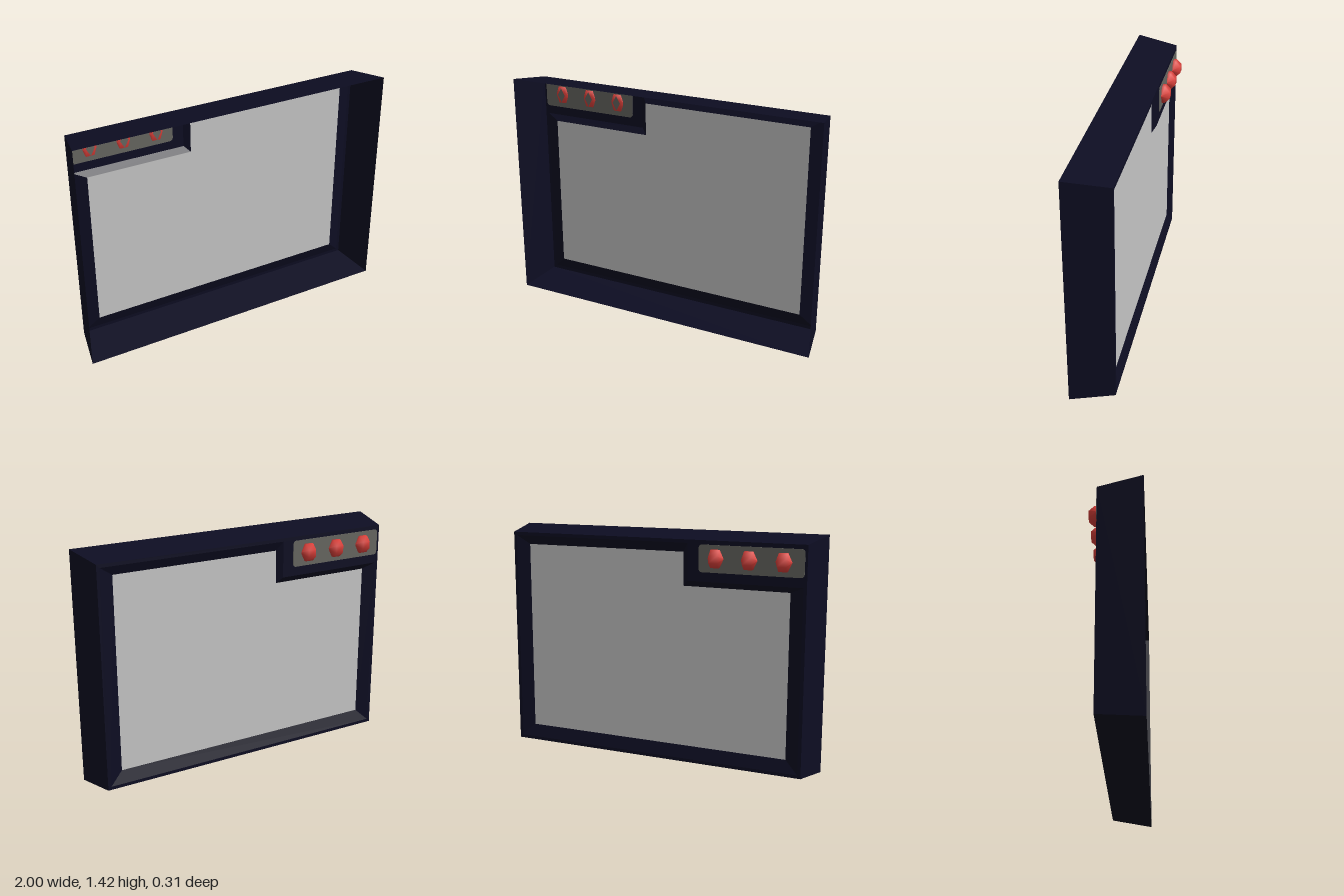
import * as THREE from 'three';

const material = (name, color, side = THREE.FrontSide) => {
  const m = new THREE.MeshStandardMaterial({ color, side });
  m.name = name;
  return m;
};

const shapeOf = (points) => new THREE.Shape(points.map(([x, y]) => new THREE.Vector2(x, y)));

// Rectangle as a counter-clockwise outline
const rect = (x, y0, y1) => [[-x, y0], [x, y0], [x, y1], [-x, y1]];

// Flat-faced band joining two matching outlines at different depths
function band(a, za, b, zb) {
  const pos = [];
  a.forEach((p, i) => {
    const j = (i + 1) % a.length;
    const A = [...p, za], B = [...a[j], za], C = [...b[j], zb], D = [...b[i], zb];
    pos.push(...A, ...C, ...B, ...A, ...D, ...C);
  });
  const g = new THREE.BufferGeometry();
  g.setAttribute('position', new THREE.Float32BufferAttribute(pos, 3));
  g.computeVertexNormals();
  return g;
}

export function createModel() {
  const model = new THREE.Group();
  const navy = material('navy frame', 0x0d0d22, THREE.DoubleSide);
  const pale = material('pale grey panel', 0xc6c6c6, THREE.DoubleSide);
  const grey = material('dark grey plate', 0x666660);
  const red = material('red lamp', 0xdc403a);

  const add = (name, geometry, mat, x = 0, y = 0, z = 0) => {
    const mesh = new THREE.Mesh(geometry, mat);
    mesh.name = name;
    mesh.position.set(x, y, z);
    model.add(mesh);
    return mesh;
  };

  const BACK = -0.105, PANEL = -0.08;
  const front = rect(1, 0, 1.42);
  const back = rect(0.95, 0.035, 1.385);
  // Notched outlines: the lip of the bezel and the recessed panel
  const notched = (x, y0, y1, nx, ny) =>
    [[-x, y0], [x, y0], [x, y1], [nx, y1], [nx, ny], [-x, ny]];
  const lip = notched(0.93, 0.055, 1.365, -0.235, 1.145);
  const pane = notched(0.85, 0.13, 1.31, -0.2, 1.11);

  // Thin tapered walls, open at the front
  add('frameWalls', band(back, BACK, front, 0.155), navy);

  // Back rim with its notched opening, then the slope in to the panel
  const rim = shapeOf(back);
  rim.holes.push(shapeOf(lip));
  add('backRim', new THREE.ShapeGeometry(rim), navy, 0, 0, BACK);
  add('bezelSlope', band(lip, BACK, pane, PANEL), navy);
  add('panel', new THREE.ShapeGeometry(shapeOf(pane)), pale, 0, 0, PANEL);

  // Lamp plate with rounded corners
  const [x0, x1, y0, y1, r] = [-0.935, -0.305, 1.2, 1.36, 0.02];
  const plate = new THREE.Shape();
  plate.absarc(x1 - r, y0 + r, r, -Math.PI / 2, 0);
  plate.absarc(x1 - r, y1 - r, r, 0, Math.PI / 2);
  plate.absarc(x0 + r, y1 - r, r, Math.PI / 2, Math.PI);
  plate.absarc(x0 + r, y0 + r, r, Math.PI, Math.PI * 1.5);
  add('lampPlate', new THREE.ExtrudeGeometry(plate,
    { depth: 0.009, bevelEnabled: false, curveSegments: 3 }), grey, 0, 0, -0.108);

  // Low-sided lamp, poles sideways, flattened toward the front
  const lamp = new THREE.SphereGeometry(0.0655, 8, 3);
  lamp.rotateX(0).rotateY(Math.PI / 8).rotateZ(Math.PI / 2);
  lamp.scale(0.76, 1, 1);
  const p = lamp.attributes.position;
  for (let i = 0; i < p.count; i++) if (p.getZ(i) > 0) p.setZ(i, p.getZ(i) * 0.35);
  lamp.computeVertexNormals();

  const diamond = new THREE.ShapeGeometry(
    shapeOf([[0, -0.046], [0.026, 0], [0, 0.046], [-0.026, 0]]));

  for (const x of [-0.815, -0.612, -0.41]) {
    add('lamp', lamp, red, x, 1.282, BACK);
    add('lampDiamond', diamond, grey, x, 1.282, -0.085);
  }
  return model;
}
